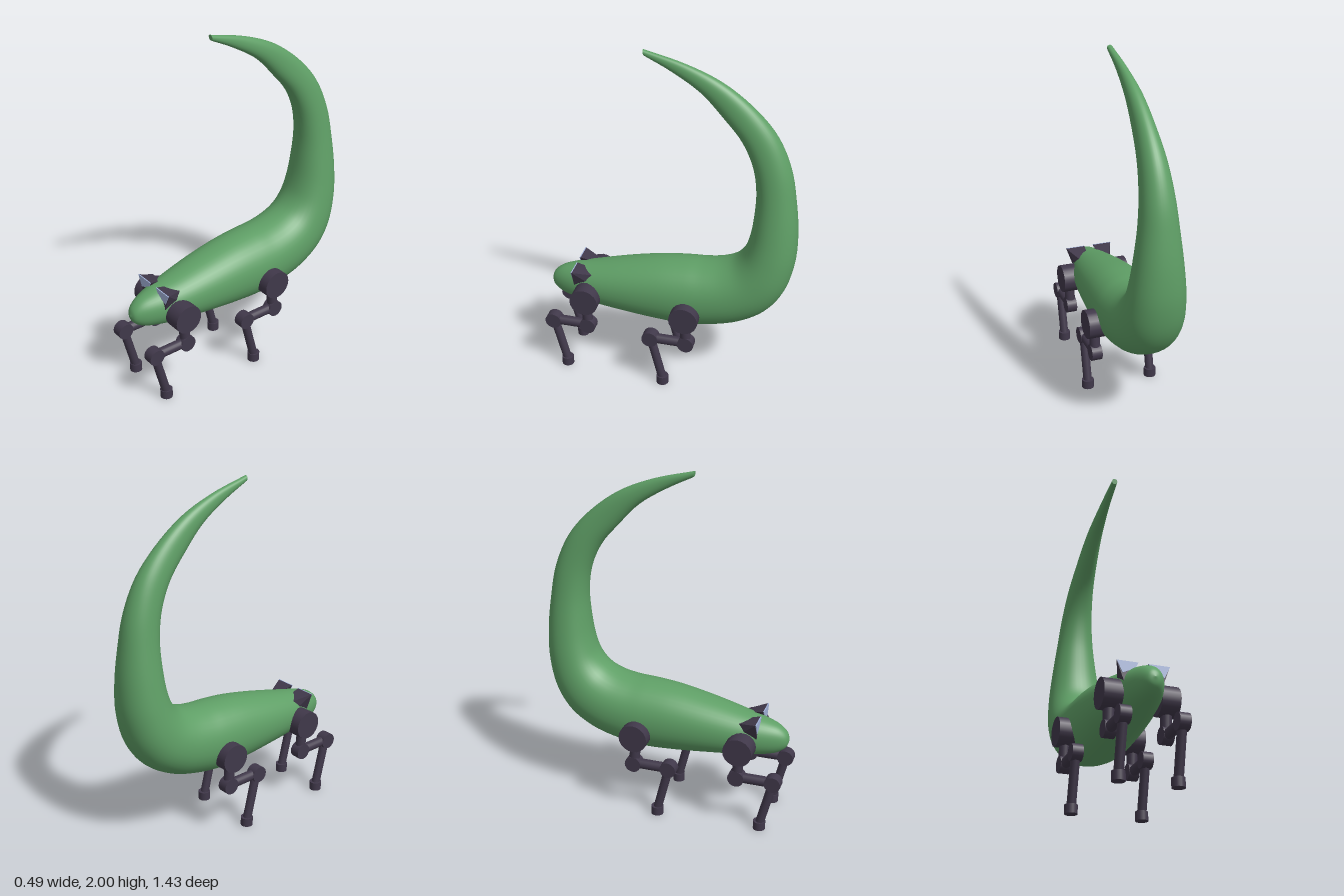
import * as THREE from 'three';
import { ConvexGeometry } from 'three/addons/geometries/ConvexGeometry.js';

const mat = (name, color) => Object.assign(new THREE.MeshStandardMaterial({ color }), { name });
const V = (x, y, z) => new THREE.Vector3(x, y, z);

// Cross-sections: upper/inner z, y, lower/outer z, y, half width
const SECTIONS = [
  [0.717, 0.512, 0.717, 0.508, 0.003],
  [0.703, 0.552, 0.703, 0.468, 0.037],
  [0.66, 0.59, 0.66, 0.433, 0.066],
  [0.58, 0.62, 0.58, 0.41, 0.098],
  [0.45, 0.65, 0.45, 0.393, 0.134],
  [0.25, 0.698, 0.25, 0.373, 0.165],
  [0.05, 0.737, 0.05, 0.355, 0.183],
  [-0.1, 0.752, -0.12, 0.35, 0.19],
  [-0.2, 0.757, -0.27, 0.372, 0.19],
  [-0.3, 0.777, -0.43, 0.42, 0.186],
  [-0.37, 0.812, -0.57, 0.51, 0.178],
  [-0.42, 0.872, -0.66, 0.64, 0.168],
  [-0.45, 0.96, -0.708, 0.82, 0.152],
  [-0.47, 1.1, -0.714, 1.0, 0.131],
  [-0.475, 1.25, -0.694, 1.2, 0.108],
  [-0.45, 1.4, -0.658, 1.39, 0.09],
  [-0.385, 1.54, -0.58, 1.57, 0.073],
  [-0.285, 1.66, -0.46, 1.713, 0.057],
  [-0.16, 1.79, -0.28, 1.85, 0.042],
  [0.0, 1.893, -0.08, 1.937, 0.026],
  [0.143, 1.966, 0.148, 1.998, 0.016],
];

// Lofted skin running from the nose to the tip of the tail
function bodyGeometry() {
  const upper = new THREE.CatmullRomCurve3(SECTIONS.map(([z, y, , , w]) => V(w, y, z)));
  const lower = new THREE.CatmullRomCurve3(SECTIONS.map(([, , z, y]) => V(0, y, z)));
  const rings = 100, sides = 40, pos = [], index = [];
  const soft = (v) => Math.sign(v) * Math.abs(v) ** 0.94;
  for (let i = 0; i <= rings; i++) {
    const a = upper.getPoint(i / rings), b = lower.getPoint(i / rings);
    const cy = (a.y + b.y) / 2, cz = (a.z + b.z) / 2;
    for (let j = 0; j < sides; j++) {
      const t = (j / sides) * Math.PI * 2, c = soft(Math.cos(t)), s = soft(Math.sin(t));
      pos.push(a.x * s, cy + (a.y - cy) * c, cz + (a.z - cz) * c);
      if (i === rings) continue;
      const p = i * sides + j, q = i * sides + ((j + 1) % sides);
      index.push(p, q, p + sides, q, q + sides, p + sides);
    }
  }
  // Flat tail cap with its own corners, and a closed nose
  const last = rings * sides, cap = pos.length / 3;
  pos.push(...pos.slice(last * 3));
  for (let j = 1; j < sides - 1; j++) {
    index.push(cap, cap + j, cap + j + 1);
    index.push(0, j + 1, j);
  }
  const g = new THREE.BufferGeometry();
  g.setAttribute('position', new THREE.Float32BufferAttribute(pos, 3));
  g.setIndex(index);
  g.computeVertexNormals();
  return g;
}

export function createModel() {
  const green = mat('bodyGreen', 0x5f9f66);
  const dark = mat('darkMetal', 0x40384a);
  const blue = mat('paleBlueLens', 0xa3b3da);
  const model = new THREE.Group();
  const add = (parent, name, geometry, material) => {
    const m = new THREE.Mesh(geometry, material);
    m.name = name;
    parent.add(m);
    return m;
  };

  add(model, 'bodyAndTail', bodyGeometry(), green);

  // Rod between two points
  const rod = (parent, name, a, b, r) => {
    const m = add(parent, name, new THREE.CylinderGeometry(r, r, a.distanceTo(b), 20), dark);
    m.position.copy(a).add(b).multiplyScalar(0.5);
    m.quaternion.setFromUnitVectors(V(0, 1, 0), b.clone().sub(a).normalize());
  };

  // Jointed leg: drum hip, two joints, three links and a foot
  function leg(name, side, x, z) {
    const g = new THREE.Group();
    g.name = name;
    const at = (px, y, dz) => V(side * px, y, z + dz);
    rod(g, 'hip', at(x - 0.05, 0.49, 0), at(x + 0.052, 0.49, 0), 0.083);
    rod(g, 'thigh', at(x, 0.49, 0.005), at(x, 0.31, -0.01), 0.03);
    rod(g, 'knee', at(x - 0.03, 0.31, -0.01), at(x + 0.03, 0.31, -0.01), 0.047);
    rod(g, 'middleLink', at(x, 0.31, -0.01), at(x, 0.312, 0.2), 0.029);
    rod(g, 'ankle', at(x - 0.03, 0.312, 0.2), at(x + 0.03, 0.312, 0.2), 0.047);
    rod(g, 'shin', at(x, 0.312, 0.2), at(x, 0.03, 0.13), 0.025);
    rod(g, 'foot', at(x, 0.05, 0.13), at(x, 0, 0.13), 0.035);
    model.add(g);
  }

  for (const side of [1, -1]) {
    const label = side > 0 ? 'left' : 'right';
    leg(label + 'FrontLeg', side, 0.153, 0.47);
    leg(label + 'RearLeg', side, 0.195, -0.127);

    // Angular eye housing with a thin slanted lens on its front
    const hull = (list) => new ConvexGeometry(list.map(([x, y, z]) => V(side * x, y, z)));
    add(model, label + 'EyeHousing', hull([
      [0.143, 0.645, 0.555], [0.027, 0.645, 0.555], [0.05, 0.6, 0.555], [0.1, 0.525, 0.555],
      [0.092, 0.613, 0.44], [0.1, 0.55, 0.45], [0.03, 0.635, 0.51],
    ]), dark);
    const lens = [[0.143, 0.645], [0.027, 0.645], [0.045, 0.61], [0.112, 0.58]];
    add(model, label + 'EyeLens', hull(
      lens.flatMap(([x, y]) => [[x, y, 0.553], [x, y, 0.559]])), blue);
  }
  return model;
}
